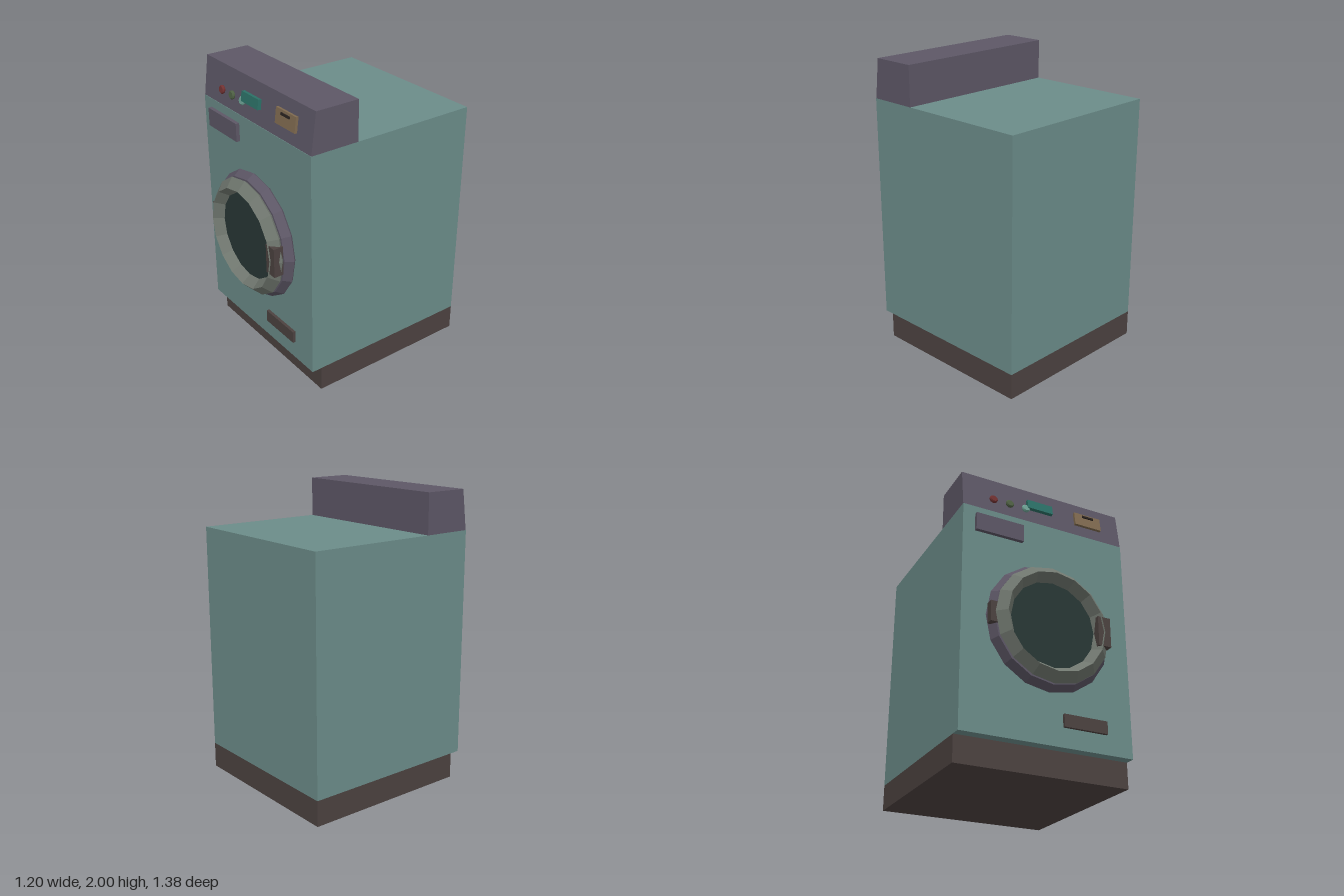
import * as THREE from 'three';

const COLORS = {
  teal: 0x6b8c89, violet: 0x5d5766, brown: 0x4c4240, metal: 0x70776f,
  glass: 0x293836, red: 0x733232, green: 0x4f6144, mint: 0x70a598,
  screen: 0x2c7268, tan: 0x806b50, dark: 0x2a2320,
};

export function createModel() {
  const model = new THREE.Group();
  model.name = 'washingMachine';

  const add = (name, geometry, color, parent = model, side = THREE.FrontSide) => {
    const material = new THREE.MeshStandardMaterial({ color: COLORS[color], flatShading: true, side });
    const mesh = new THREE.Mesh(geometry, material);
    mesh.name = name;
    parent.add(mesh);
    return mesh;
  };
  // Box given by its limits on each axis
  const box = (name, color, [x0, x1], [y0, y1], [z0, z1], parent) => {
    const mesh = add(name, new THREE.BoxGeometry(x1 - x0, y1 - y0, z1 - z0), color, parent);
    mesh.position.set((x0 + x1) / 2, (y0 + y1) / 2, (z0 + z1) / 2);
    return mesh;
  };

  // Cabinet on a recessed plinth
  box('plinth', 'brown', [-0.6, 0.6], [0, 0.175], [-0.69, 0.48]);
  box('cabinet', 'teal', [-0.6, 0.6], [0.175, 1.73], [-0.69, 0.55]);
  box('upperPlate', 'violet', [-0.515, -0.175], [1.545, 1.67], [0.54, 0.576]);
  box('filterCover', 'brown', [0.1, 0.41], [0.305, 0.39], [0.54, 0.57]);

  // Control panel: a box whose front leans back
  const panel = box('controlPanel', 'violet', [-0.6, 0.6], [1.73, 2], [0.205, 0.547]);
  const p = panel.geometry.attributes.position;
  for (let i = 0; i < p.count; i++) {
    if (p.getY(i) > 0 && p.getZ(i) > 0) p.setZ(i, p.getZ(i) - 0.035);
  }
  panel.geometry.computeVertexNormals();

  // Controls sit on the leaning face: local y runs up it, local z out of it
  const controls = new THREE.Group();
  controls.name = 'controls';
  controls.position.set(0, 1.73, 0.547);
  controls.rotation.x = -Math.atan(0.035 / 0.27);
  model.add(controls);
  [['red', -0.38], ['green', -0.26], ['mint', -0.14]].forEach(([color, x]) => {
    const profile = [[0.024, -0.005], [0.029, 0.006], [0.029, 0.012], [0.022, 0.019], [0, 0.019]]
      .map(([r, z]) => new THREE.Vector2(r, z));
    const button = add(color + 'Button', new THREE.LatheGeometry(profile, 16), color, controls);
    button.rotation.x = Math.PI / 2;
    button.position.set(x, 0.102, 0);
  });
  box('display', 'screen', [-0.13, 0.06], [0.105, 0.172], [-0.005, 0.024], controls);
  box('detergentDrawer', 'tan', [0.24, 0.445], [0.087, 0.188], [-0.005, 0.018], controls);
  box('drawerSlot', 'dark', [0.3, 0.387], [0.157, 0.172], [0.01, 0.026], controls);

  // Round door: 16-sided rings turned about the z axis
  const door = new THREE.Group();
  door.name = 'door';
  door.position.set(0, 0.95, 0);
  model.add(door);
  const ring = (name, color, points) => {
    const profile = points.map(([r, z]) => new THREE.Vector2(r, z));
    const mesh = add(name, new THREE.LatheGeometry(profile, 16), color, door, THREE.DoubleSide);
    mesh.rotation.x = Math.PI / 2;
  };
  ring('doorFrame', 'violet', [[0.42, 0.545], [0.44, 0.566], [0.405, 0.618], [0.37, 0.618]]);
  ring('doorBezel', 'metal', [[0.385, 0.612], [0.405, 0.635], [0.345, 0.692], [0.295, 0.625]]);
  ring('doorGlass', 'glass', [[0.297, 0.628], [0, 0.628]]);
  box('doorHandle', 'brown', [0.3, 0.39], [-0.1, 0.105], [0.618, 0.686], door);
  box('doorHinge', 'brown', [-0.435, -0.38], [-0.07, 0.07], [0.58, 0.632], door);

  return model;
}
